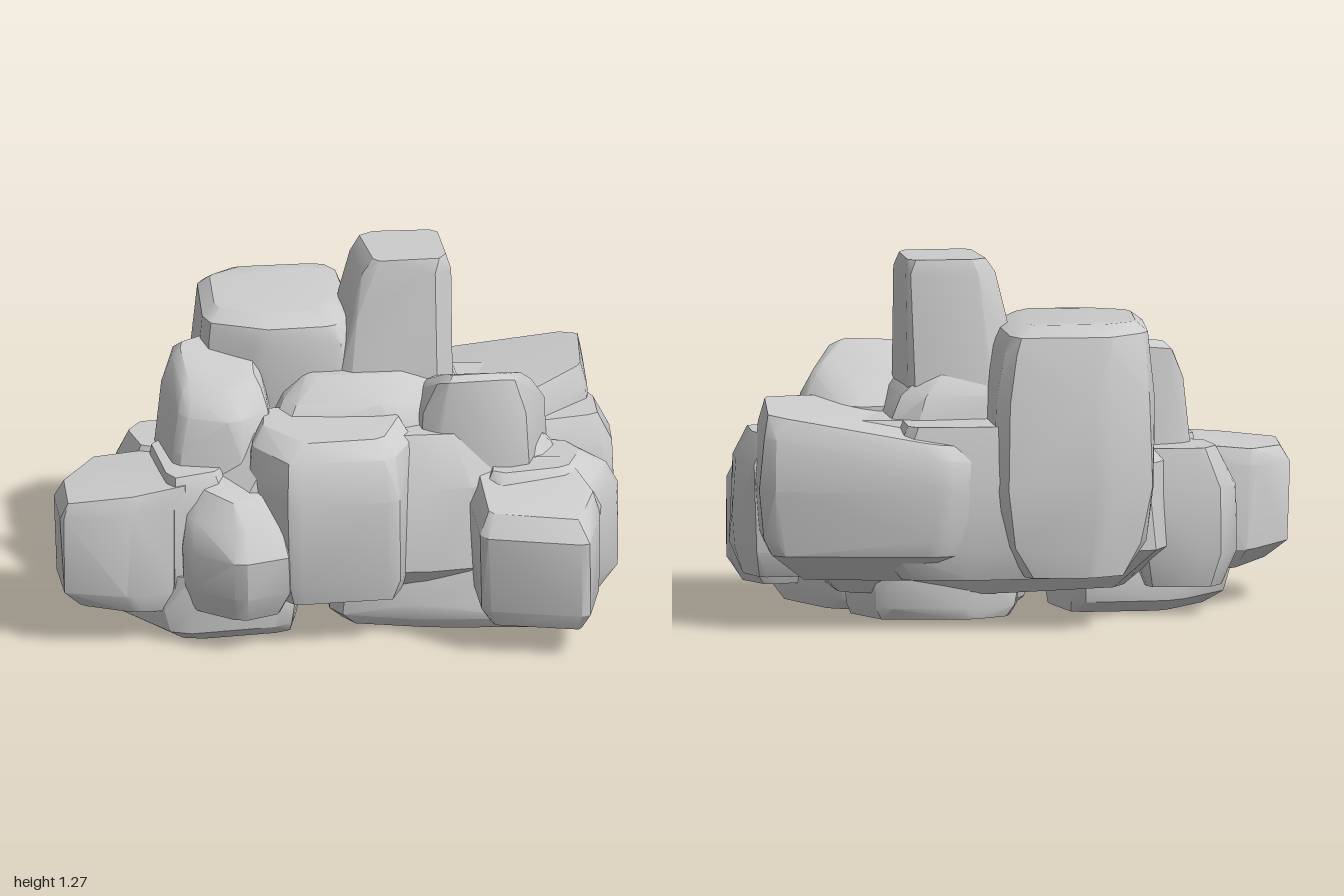
import * as THREE from 'three';
import { ConvexGeometry } from 'three/addons/geometries/ConvexGeometry.js';
import { toCreasedNormals } from 'three/addons/utils/BufferGeometryUtils.js';

const stone = new THREE.MeshStandardMaterial({ color: 0xcccccc });

// Cut every corner of a footprint so the vertical edges are worn.
function wear(points, cut) {
  const out = [];
  points.forEach((p, i) => {
    const prev = points[(i + points.length - 1) % points.length];
    const next = points[(i + 1) % points.length];
    for (const q of [prev, next]) out.push([p[0] + (q[0] - p[0]) * cut, p[1] + (q[1] - p[1]) * cut]);
  });
  return out;
}

// Seeded unevenness for chipped faces, within +-0.01.
function makeChips(seed) {
  let state = seed;
  return () => {
    state = (state * 16807) % 2147483647;
    return (state / 2147483647 - 0.5) * 0.02;
  };
}

// One boulder: an [x, z] footprint stacked in layers of
// [y, scale, shift x, shift z, slope along x, slope along z].
function boulder(name, footprint, layers, cut = 0.12) {
  const outline = wear(footprint, cut);
  const chip = makeChips(name.length * 7919);
  const cx = outline.reduce((s, p) => s + p[0], 0) / outline.length;
  const cz = outline.reduce((s, p) => s + p[1], 0) / outline.length;
  const points = [];
  for (const [y, scale, dx = 0, dz = 0, sx = 0, sz = 0] of layers) {
    for (const [px, pz] of outline) {
      const x = (px - cx) * scale, z = (pz - cz) * scale;
      points.push(new THREE.Vector3(cx + x + dx + chip(), y + x * sx + z * sz, cz + z + dz + chip()));
    }
  }
  const mesh = new THREE.Mesh(toCreasedNormals(new ConvexGeometry(points), 0.5), stone);
  mesh.name = name;
  return mesh;
}

export function createModel() {
  const group = new THREE.Group();
  group.name = 'rockPile';
  group.add(
    // Inner masses that fill the valleys between boulders
    boulder('coreRock', [[-0.55, -0.35], [0.1, -0.54], [0.75, -0.45], [0.82, 0.2], [0.4, 0.39], [-0.45, 0.36]],
      [[0.11, 0.78], [0.25, 1], [0.55, 0.98], [0.72, 0.76]]),
    boulder('backFillRock', [[-0.2, -0.6], [0.15, -0.62], [0.5, -0.61], [0.5, -0.2], [-0.2, -0.2]],
      [[0.18, 0.8], [0.28, 1], [0.52, 1], [0.72, 0.75]]),
    boulder('summitFootRock', [[-0.2, -0.35], [0.45, -0.42], [0.5, 0.1], [0.2, 0.24], [-0.25, 0.22]],
      [[0.5, 1.05], [0.7, 0.98], [0.8, 0.84, 0, -0.03], [0.87, 0.6, 0, -0.06]]),

    // Upright stone at the summit
    boulder('summitRock', [[0.02, -0.26], [0.1, -0.32], [0.37, -0.31], [0.4, -0.02], [0.35, 0.03], [0.05, 0.03]],
      [[0.6, 1.2, -0.02], [0.85, 1.02, -0.02], [1.06, 0.98], [1.22, 0.88, 0.035], [1.27, 0.78, 0.045]], 0.08),

    // Tall block at the back
    boulder('backRock', [[-0.46, -0.52], [-0.28, -0.64], [0.1, -0.63], [0.13, -0.1], [0.04, 0.02], [-0.25, 0.02], [-0.47, -0.08]],
      [[0.19, 0.62, 0, -0.14], [0.3, 0.9, 0, -0.05], [0.5, 1.02, 0, -0.02], [0.8, 1, 0, 0.01], [0.97, 0.94, -0.01, 0.02], [1.03, 0.88, -0.02, 0.02], [1.065, 0.68, -0.03, 0.02]]),

    // Broad block behind and to the left, falling away towards the middle
    boulder('backLeftRock', [[0.1, -0.56], [0.28, -0.66], [0.93, -0.58], [0.92, -0.17], [0.7, 0.02], [0.6, 0.12], [0.12, 0.02]],
      [[0.17, 0.6], [0.27, 0.9, 0, -0.02], [0.33, 0.98], [0.5, 1.01], [0.65, 0.98, 0, 0, 0.12, 0.03], [0.72, 0.9, 0, 0, 0.16, 0.06]], 0.08),
    boulder('sideRock', [[0.62, -0.32], [0.92, -0.34], [0.98, -0.18], [0.98, 0.02], [0.66, 0.1]],
      [[0.16, 0.8], [0.25, 0.98], [0.38, 1], [0.56, 0.94], [0.66, 0.76, -0.02]]),

    // Sloping shoulder beside the summit
    boulder('leftShoulderRock', [[0.24, -0.12], [0.58, -0.16], [0.74, 0.02], [0.63, 0.28], [0.3, 0.25]],
      [[0.35, 1.12], [0.62, 1.05, 0, 0.01], [0.76, 0.98, 0, 0, 0, 0.12], [0.84, 0.8, 0, 0.03, 0, 0.4], [0.87, 0.62, 0, 0.04, 0, 0.42]]),

    // Shoulder on the other side
    boulder('rightShoulderRock', [[-0.62, -0.1], [-0.4, -0.18], [-0.22, -0.05], [-0.22, 0.16], [-0.36, 0.26], [-0.58, 0.21]],
      [[0.4, 1.1], [0.65, 1], [0.8, 0.9, 0, -0.01, 0, -0.15], [0.88, 0.78, 0, -0.04, 0, -0.35], [0.91, 0.64, 0, -0.05, 0, -0.4]]),
    boulder('rightLedgeRock', [[-0.78, -0.2], [-0.7, -0.29], [-0.42, -0.28], [-0.4, 0.05], [-0.72, 0.02]],
      [[0.1, 0.78], [0.22, 1], [0.45, 1], [0.59, 0.76, 0.03]]),

    // Block facing the front
    boulder('frontRock', [[-0.32, 0.12], [0.22, 0.1], [0.27, 0.26], [0.18, 0.46], [-0.19, 0.48], [-0.33, 0.3]],
      [[0.17, 0.88], [0.24, 1], [0.55, 1.01], [0.7, 0.93, 0, -0.03, 0, -0.05], [0.76, 0.78, 0, -0.06, 0, -0.08]], 0.08),
    boulder('frontLowRock', [[-0.56, 0.12], [-0.2, 0.1], [-0.18, 0.47], [-0.37, 0.54], [-0.56, 0.4]],
      [[0.13, 0.8], [0.22, 0.98], [0.36, 1], [0.48, 0.9, 0, -0.03, 0, -0.15], [0.58, 0.7, 0, -0.07, 0, -0.3]]),

    // Arm reaching out to the side
    boulder('armOuterRock', [[-0.99, 0.13], [-0.85, -0.06], [-0.62, -0.05], [-0.54, 0.34], [-0.76, 0.4], [-0.99, 0.38]],
      [[0.13, 0.84, 0.04, 0, -0.12], [0.2, 1, 0, 0, -0.05], [0.5, 1, 0, 0, 0.08], [0.56, 0.92, 0.01, 0, 0.1]], 0.06),
    boulder('armInnerRock', [[-0.66, -0.06], [-0.42, -0.12], [-0.4, 0.3], [-0.62, 0.36]],
      [[0.11, 0.88], [0.2, 1], [0.52, 1], [0.61, 0.85]]),

    // Pair of blocks at the front corner
    boulder('cornerRock', [[0.44, 0.22], [0.8, 0.22], [0.89, 0.45], [0.84, 0.65], [0.47, 0.59]],
      [[0.13, 0.86, 0, -0.01, 0, -0.12], [0.18, 0.98, 0, 0, 0, -0.05], [0.48, 1, 0, 0, 0, -0.18], [0.56, 0.86, 0, -0.02, 0, -0.24]], 0.06),
    boulder('cornerSideRock', [[0.5, 0.06], [0.9, -0.02], [1.0, 0.14], [0.89, 0.38], [0.48, 0.44]],
      [[0.09, 0.78, -0.02], [0.17, 0.95], [0.28, 1], [0.46, 0.95], [0.54, 0.85, -0.02], [0.6, 0.62, -0.05]]),

    // Low slabs the pile rests on
    boulder('rightBaseRock', [[-0.8, 0.1], [-0.6, -0.16], [-0.2, -0.2], [-0.12, 0.1], [-0.18, 0.34], [-0.6, 0.39]],
      [[0, 0.82, 0.03], [0.04, 0.95], [0.12, 1], [0.25, 0.95]]),
    boulder('leftBaseRock', [[-0.05, -0.2], [0.25, -0.28], [0.65, -0.15], [0.82, 0.2], [0.72, 0.39], [0.3, 0.37], [-0.04, 0.28]],
      [[0.02, 0.9, 0.01], [0.06, 0.98], [0.12, 1], [0.25, 0.95]]),
    boulder('backFootRock', [[0.0, -0.36], [0.15, -0.44], [0.5, -0.43], [0.62, -0.2], [0.3, -0.08], [0.0, -0.12]],
      [[0.02, 0.9], [0.06, 0.98], [0.17, 1], [0.32, 0.9]]),
  );
  return group;
}
